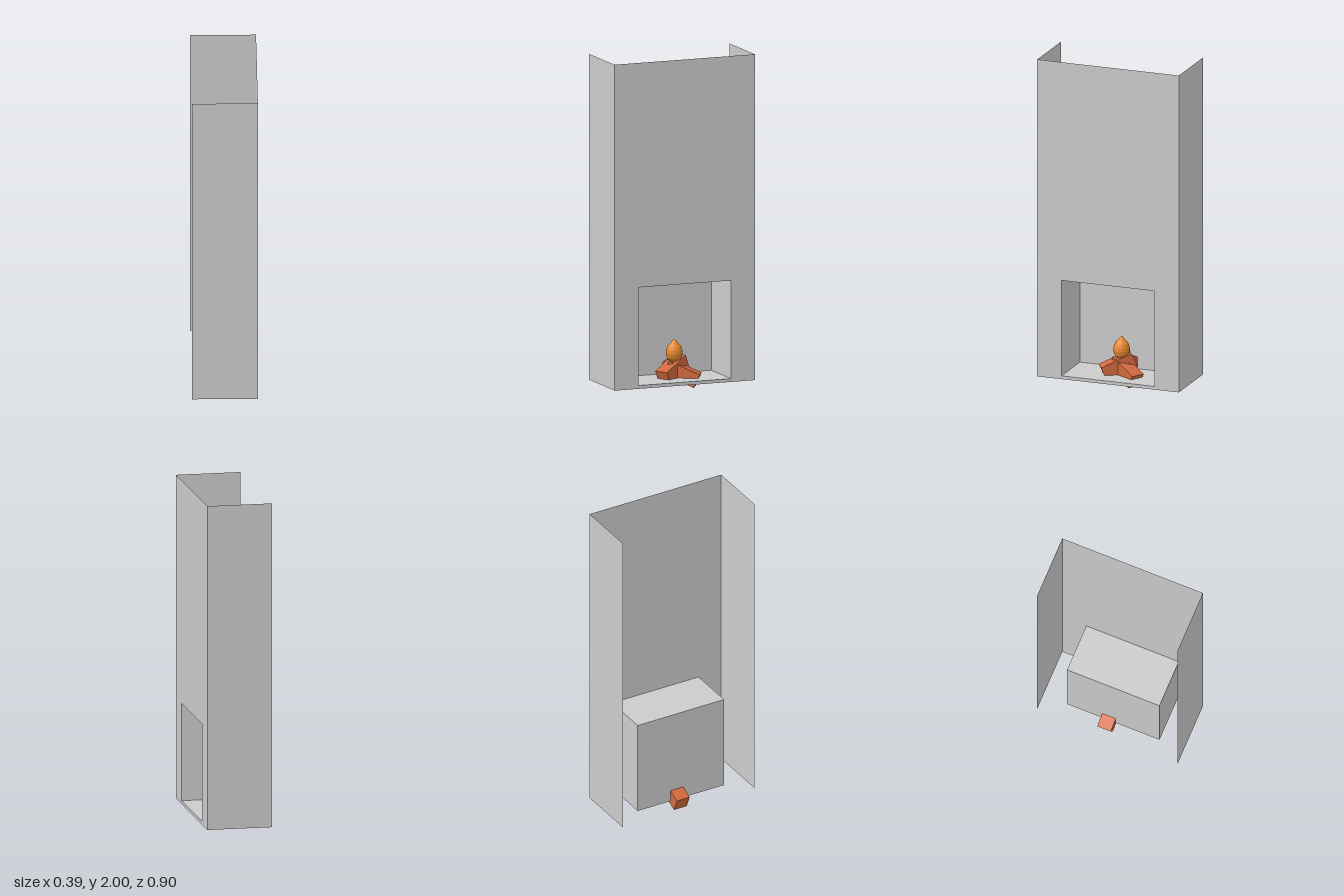
import * as THREE from 'three';

export function createModel() {
  const group = new THREE.Group();
  const wall = new THREE.MeshStandardMaterial({ color: 0xcccccc, side: THREE.DoubleSide, flatShading: true });
  const wood = new THREE.MeshStandardMaterial({ color: 0xd2693f, flatShading: true });
  const fire = new THREE.MeshStandardMaterial({ color: 0xe8892f, flatShading: true });

  const add = (name, geometry, material, parent = group) => {
    const mesh = new THREE.Mesh(geometry, material);
    mesh.name = name;
    parent.add(mesh);
    return mesh;
  };

  const front = 0.19, back = -0.2, boxBack = -0.11;
  const bottom = 0.04, top = 2, half = 0.45;
  const openHalf = 0.296, openBottom = 0.06, openTop = 0.65;

  // Chimney face with the hearth opening, turned to face +x
  const face = new THREE.Shape([
    [-half, bottom], [half, bottom], [half, top], [-half, top],
  ].map(([x, y]) => new THREE.Vector2(x, y)));
  face.holes.push(new THREE.Path([
    [-openHalf, openBottom], [-openHalf, openTop], [openHalf, openTop], [openHalf, openBottom],
  ].map(([x, y]) => new THREE.Vector2(x, y))));
  add('chimneyFace', new THREE.ShapeGeometry(face).rotateY(Math.PI / 2).translate(front, 0, 0), wall);

  // Thin chimney sides and firebox sides
  for (const s of [1, -1]) {
    const tag = s > 0 ? 'Front' : 'Back';
    add('chimneySide' + tag, new THREE.PlaneGeometry(front - back, top - bottom)
      .translate((front + back) / 2, (top + bottom) / 2, s * half), wall);
    add('fireboxSide' + tag, new THREE.PlaneGeometry(front - boxBack, openTop - openBottom)
      .translate((front + boxBack) / 2, (openTop + openBottom) / 2, s * openHalf), wall);
  }

  // Firebox floor, ceiling and rear wall
  for (const [name, y] of [['fireboxFloor', openBottom], ['fireboxCeiling', openTop]]) {
    add(name, new THREE.PlaneGeometry(front - boxBack, openHalf * 2).rotateX(-Math.PI / 2)
      .translate((front + boxBack) / 2, y, 0), wall);
  }
  add('fireboxRear', new THREE.PlaneGeometry(openHalf * 2, openTop - openBottom).rotateY(Math.PI / 2)
    .translate(boxBack, (openTop + openBottom) / 2, 0), wall);

  // Three square logs leaning together: heading, reach of the end, height of the end, z shift
  const logs = new THREE.Group();
  logs.name = 'logs';
  group.add(logs);
  const size = 0.087, tilt = 0.41, length = 0.2;
  for (const [heading, reach, y, z] of [
    [Math.PI, 0.168, 0.06, -0.028],
    [Math.PI / 3, 0.147, 0.042, -0.005],
    [-Math.PI / 3, 0.115, 0.068, -0.015],
  ]) {
    const log = add('log', new THREE.BoxGeometry(length, size, size).translate(-length / 2, 0, 0), wood, logs);
    log.rotation.set(0, heading, -tilt, 'YXZ');
    log.position.set(Math.cos(heading) * reach, y, -Math.sin(heading) * reach + z);
  }

  // Teardrop flame
  const profile = [
    [0, 0.145], [0.025, 0.155], [0.043, 0.175], [0.05, 0.2], [0.048, 0.222],
    [0.039, 0.245], [0.02, 0.267], [0, 0.29],
  ].map(([x, y]) => new THREE.Vector2(x, y));
  add('flame', new THREE.LatheGeometry(profile, 16), fire).position.z = -0.012;

  return group;
}
